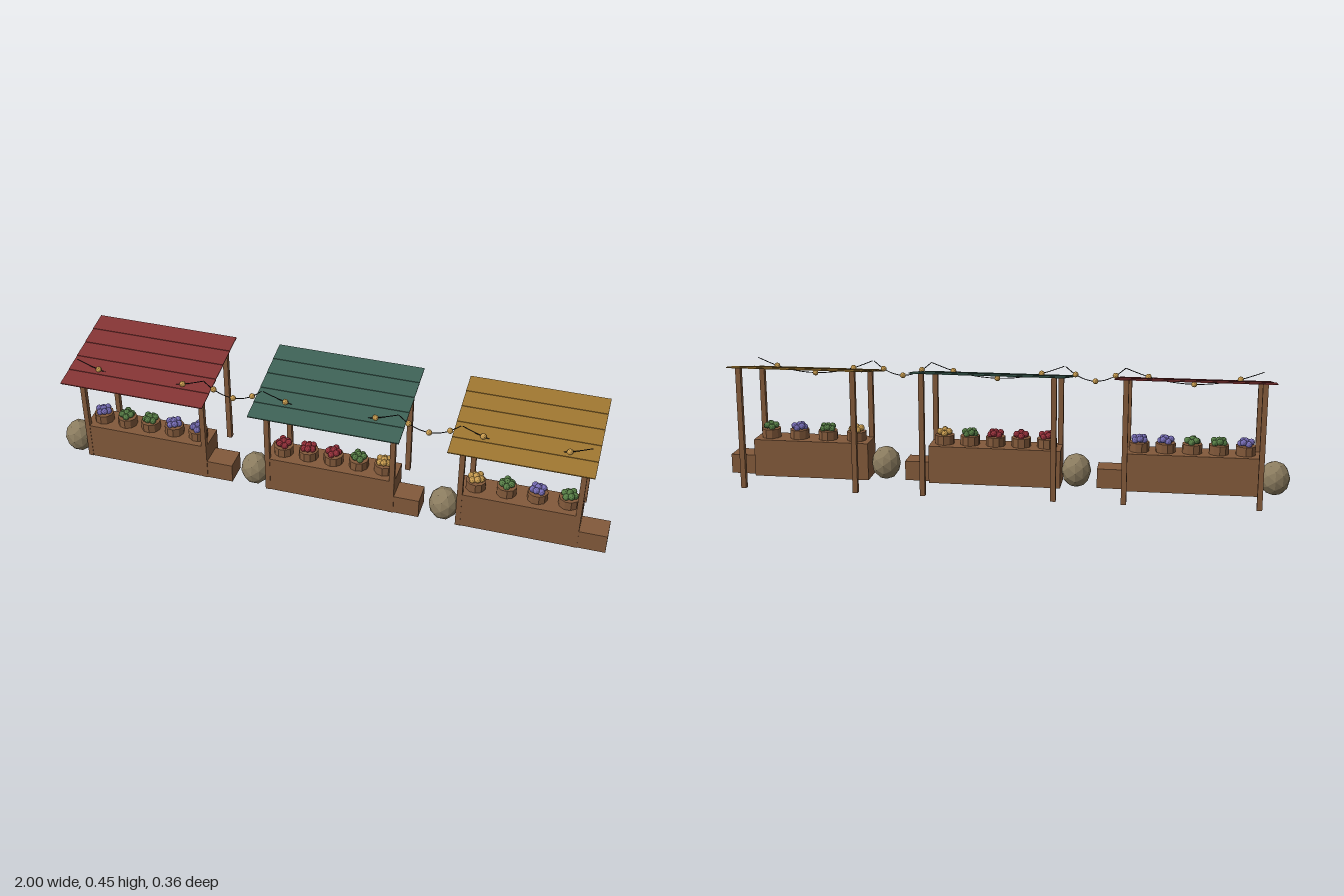
import * as THREE from 'three';

function mat(name, color) {
  const m = new THREE.MeshStandardMaterial({ color, flatShading: true });
  m.name = name;
  return m;
}

export function createModel() {
  const wood = mat('wood', 0x835a3b);
  const sackcloth = mat('sackcloth', 0x8c7d60);
  const red = mat('red roof', 0x843434);
  const teal = mat('teal roof', 0x3e6256);
  const mustard = mat('mustard roof', 0x9e7630);
  const wire = mat('black wire', 0x1c1c1c);
  const gold = mat('gold', 0xc69a4e);
  const purple = mat('purple blooms', 0x756cb4);
  const leaf = mat('green produce', 0x567d45);
  const crimson = mat('red produce', 0x96303a);

  const model = new THREE.Group();
  model.name = 'marketStalls';

  function add(parent, name, geometry, material, x, y, z) {
    const mesh = new THREE.Mesh(geometry, material);
    mesh.name = name;
    mesh.position.set(x, y, z);
    parent.add(mesh);
    return mesh;
  }
  // Box given by its limits on each axis
  function block(parent, name, x0, x1, y0, y1, z0, z1) {
    return add(parent, name, new THREE.BoxGeometry(x1 - x0, y1 - y0, z1 - z0), wood,
      (x0 + x1) / 2, (y0 + y1) / 2, (z0 + z1) / 2);
  }

  // Round tub heaped with small balls
  const tubGeo = new THREE.CylinderGeometry(0.035, 0.035, 0.032, 10);
  const ballGeo = new THREE.IcosahedronGeometry(0.012, 1);
  function tub(parent, x, material, turn) {
    const g = new THREE.Group();
    g.name = 'tub';
    g.position.set(x, 0.147, 0.041);
    g.rotation.y = turn;
    add(g, 'tubBody', tubGeo, wood, 0, 0.016, 0);
    for (let i = 0; i < 6; i++) {
      const a = i * Math.PI / 3;
      add(g, 'heapBall', ballGeo, material,
        Math.cos(a) * 0.018, 0.039 + 0.006 * (i % 2), Math.sin(a) * 0.018);
    }
    add(g, 'heapBall', ballGeo, material, 0, 0.048, 0);
    parent.add(g);
  }

  // Sagging wire with three bulbs
  const bulbGeo = new THREE.IcosahedronGeometry(0.0105, 1);
  function lights(x0, x1) {
    const g = new THREE.Group();
    g.name = 'stringLights';
    const at = t => new THREE.Vector3(x0 + (x1 - x0) * t, 0.428 - 0.2 * t * (1 - t), 0.09);
    const points = [];
    for (let i = 0; i <= 8; i++) points.push(at(i / 8));
    add(g, 'wire', new THREE.TubeGeometry(new THREE.CatmullRomCurve3(points), 16, 0.0016, 5), wire, 0, 0, 0);
    for (const t of [1 / 6, 1 / 2, 5 / 6]) {
      const p = at(t);
      add(g, 'bulb', bulbGeo, gold, p.x, p.y, p.z);
    }
    model.add(g);
  }

  const sackGeo = new THREE.IcosahedronGeometry(1, 1).scale(0.053, 0.062, 0.053);

  const stalls = [
    { x0: -0.897, x1: -0.428, roof: red, crate: 0.094, goods: [purple, leaf, leaf, purple, purple] },
    { x0: -0.207, x1: 0.262, roof: teal, crate: 0.09, goods: [crimson, crimson, crimson, leaf, gold] },
    { x0: 0.482, x1: 0.902, roof: mustard, crate: 0.096, goods: [gold, leaf, purple, leaf] },
  ];

  stalls.forEach(({ x0, x1, roof, crate, goods }, s) => {
    const g = new THREE.Group();
    g.name = 'stall';
    model.add(g);

    block(g, 'counter', x0, x1, 0.012, 0.147, -0.013, 0.097);
    block(g, 'crate', x1, x1 + crate, 0.012, 0.082, 0.01, 0.096);
    add(g, 'sack', sackGeo, sackcloth, x0 - 0.051, 0.062, 0.054);

    // Posts: short in front, tall behind
    for (const x of [x0, x1 - 0.018]) {
      block(g, 'frontPost', x, x + 0.018, 0.012, 0.388, 0.08, 0.0985);
      block(g, 'backPost', x, x + 0.018, 0.012, 0.4425, -0.168, -0.15);
    }

    // Overlapping roof planks stepping up toward the back
    const plankGeo = new THREE.BoxGeometry(x1 - x0 + 0.058, 0.004, 0.074);
    for (let i = 0; i < 5; i++) {
      const plank = add(g, 'roofPlank', plankGeo, roof,
        (x0 + x1) / 2, 0.3825 + 0.0142 * i, 0.1412 - 0.0706 * i);
      plank.rotation.x = 0.165;
    }

    // Tubs spread evenly along the counter
    const a = x0 + 0.053, b = x1 - 0.05;
    goods.forEach((m, i) => tub(g, a + (b - a) * i / (goods.length - 1), m, i * 0.7 + s));

    // Lights along the stall, then across the gap to the next one
    lights(x0, x1 + 0.005);
    if (s < 2) lights(x1 + 0.005, stalls[s + 1].x0 - 0.005);
  });

  return model;
}
